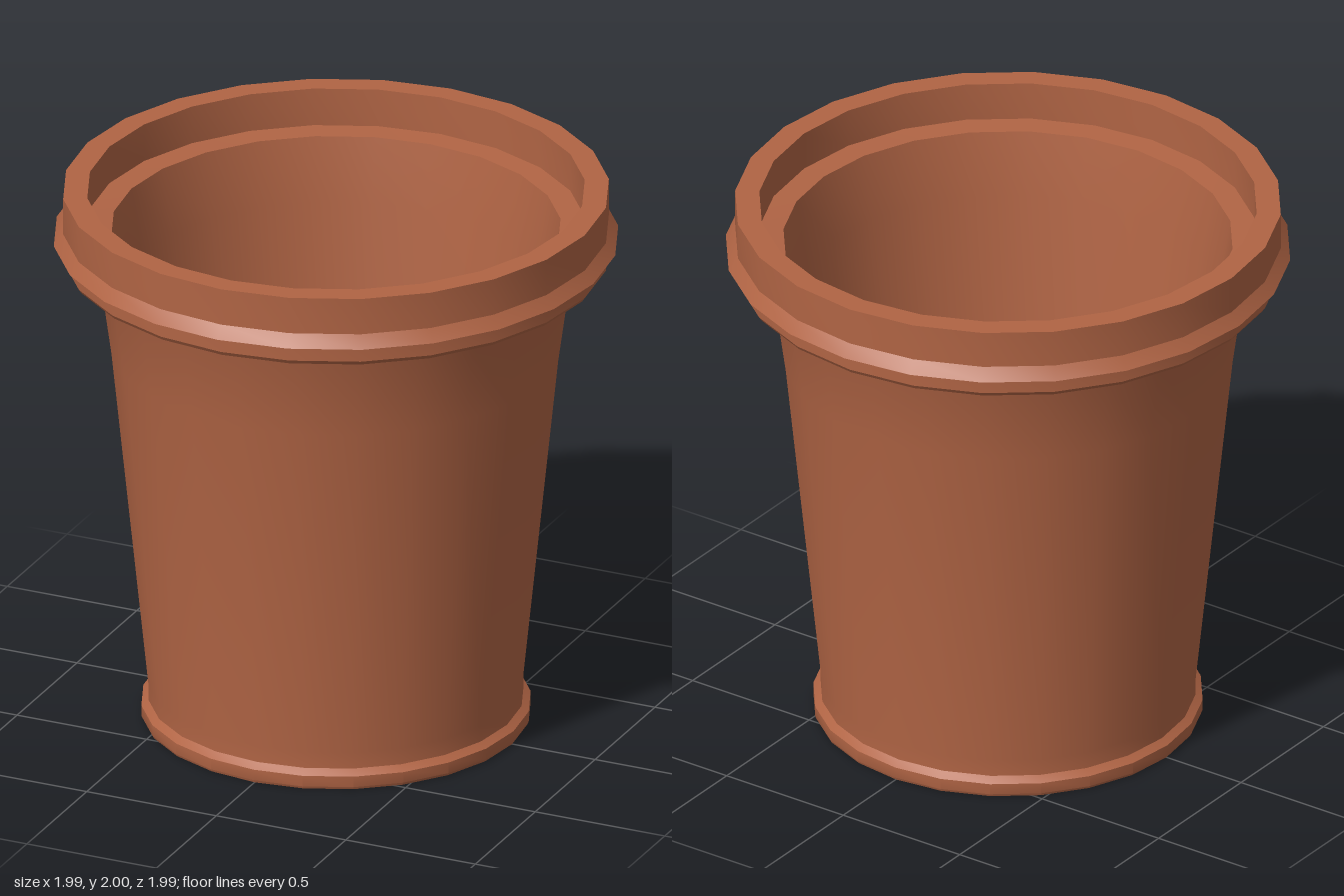
import * as THREE from 'three';
import { toCreasedNormals } from 'three/addons/utils/BufferGeometryUtils.js';

const SIDES = 24;

export function createModel() {
  const pot = new THREE.Group();
  pot.name = 'flowerPot';

  const terracotta = new THREE.MeshStandardMaterial({ color: 0xb06444 });
  terracotta.name = 'terracotta';

  // Profiles run up the outside and down the inside, so faces point outwards
  const turn = (name, profile, smooth = false) => {
    const points = profile.map(([r, y]) => new THREE.Vector2(r, y));
    const lathe = new THREE.LatheGeometry(points, SIDES);
    const mesh = new THREE.Mesh(smooth ? lathe : toCreasedNormals(lathe, 0.5), terracotta);
    mesh.name = name;
    pot.add(mesh);
  };

  // Recessed underside inside a thin foot ring
  turn('foot', [
    [0, 0.065], [0.66, 0.065], [0.665, 0], [0.68, 0], [0.685, 0.01], [0.685, 0.05], [0.66, 0.07],
  ]);

  // Tapered outer wall, flaring up behind the lip of the rim
  turn('outerWall', [
    [0.66, 0.07], [0.66, 0.13], [0.79, 1.4], [0.83, 1.69], [0.85, 1.75], [0.87, 1.79],
  ]);

  // Rim with a hanging lip, a sharp ridge and an inner ledge
  turn('rim', [
    [0.87, 1.79], [0.92, 1.815], [0.935, 1.76], [0.94, 1.745], [0.95, 1.745], [0.96, 1.76],
    [0.96, 1.82], [0.993, 1.82], [0.96, 1.865], [0.96, 2], [0.875, 2], [0.875, 1.86], [0.79, 1.855],
  ]);

  // Inner wall, flaring towards the ledge
  turn('innerWall', [[0.79, 1.855], [0.75, 1.62], [0.61, 0.28]]);

  // Dished floor
  turn('floor', [[0.61, 0.28], [0, 0.1]], true);

  return pot;
}
